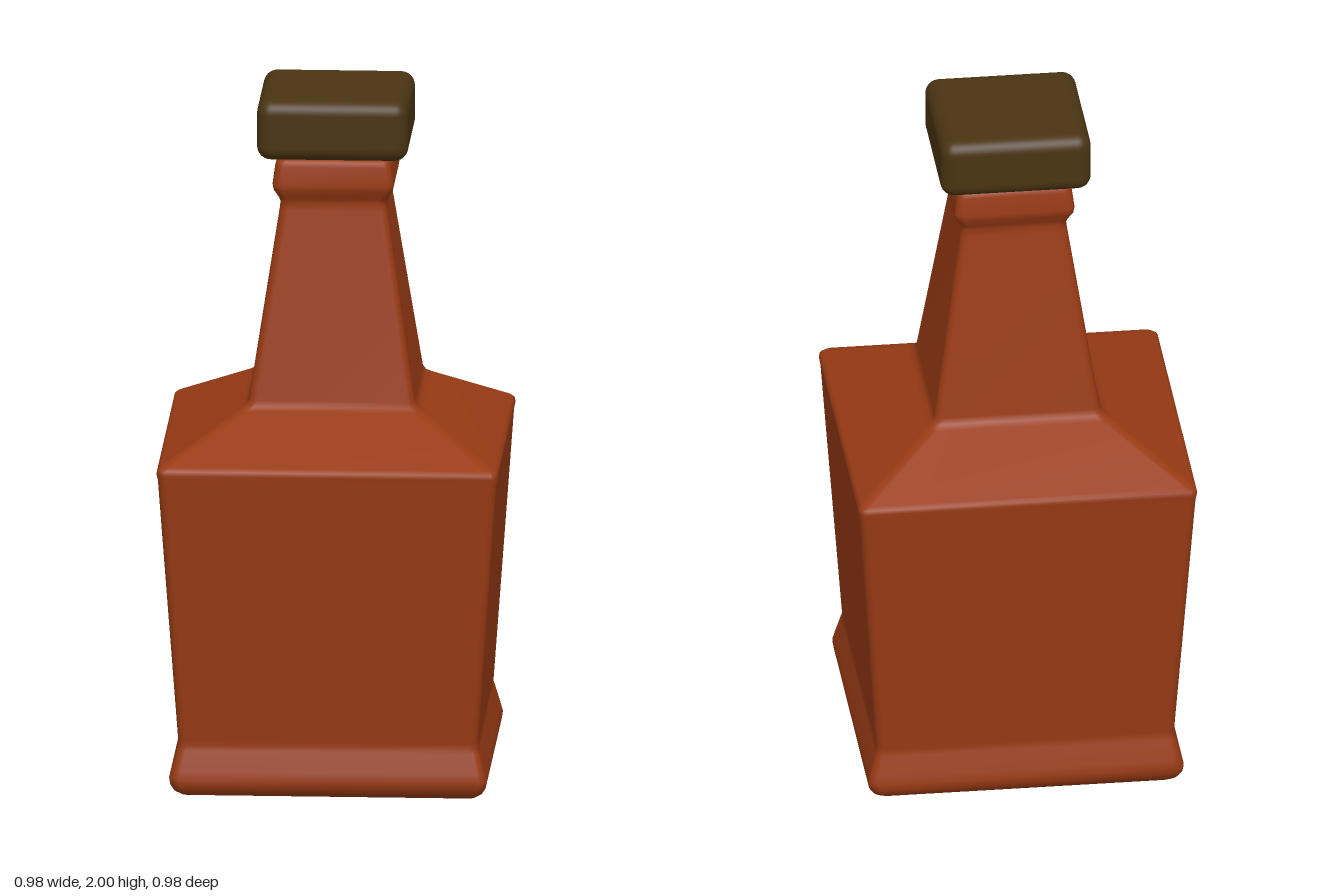
import * as THREE from 'three';
import { RoundedBoxGeometry } from 'three/addons/geometries/RoundedBoxGeometry.js';

const ARC = 5; // steps per rounded corner

// Points of a rounded square, half width h, corner radius r
function roundedSquare(h, r) {
  const points = [];
  for (let corner = 0; corner < 4; corner++) {
    const mid = Math.PI / 4 + corner * Math.PI / 2;
    const cx = Math.sign(Math.cos(mid)) * (h - r);
    const cz = Math.sign(Math.sin(mid)) * (h - r);
    for (let k = 0; k <= ARC; k++) {
      const a = corner * Math.PI / 2 + (k / ARC) * Math.PI / 2;
      points.push([cx + r * Math.cos(a), cz + r * Math.sin(a)]);
    }
  }
  return points;
}

// Loft rounded squares along y; each profile entry is [half width, y, corner radius]
function loftSquare(profile) {
  const positions = [], index = [];
  const n = 4 * (ARC + 1);
  for (const [h, y, r] of profile) {
    for (const [x, z] of roundedSquare(h, r)) positions.push(x, y, z);
  }
  const last = profile.length - 1;
  for (let j = 0; j < last; j++) {
    for (let i = 0; i < n; i++) {
      const a = j * n + i, b = j * n + (i + 1) % n;
      index.push(a, a + n, b, b, a + n, b + n);
    }
  }
  // Closed ends
  const bottom = positions.length / 3, top = bottom + 1;
  positions.push(0, profile[0][1], 0, 0, profile[last][1], 0);
  for (let i = 0; i < n; i++) {
    const next = (i + 1) % n;
    index.push(bottom, i, next, top, last * n + next, last * n + i);
  }
  const geometry = new THREE.BufferGeometry();
  geometry.setAttribute('position', new THREE.Float32BufferAttribute(positions, 3));
  geometry.setIndex(index);
  geometry.computeVertexNormals();
  return geometry;
}

export function createModel() {
  const group = new THREE.Group();
  const glass = new THREE.MeshStandardMaterial({ color: 0x983a14 });
  const capMaterial = new THREE.MeshStandardMaterial({ color: 0x4a3412 });

  const add = (name, geometry, material, y = 0) => {
    const mesh = new THREE.Mesh(geometry, material);
    mesh.name = name;
    mesh.position.y = y;
    group.add(mesh);
  };

  // Bottle: foot, tapered body, sloped shoulder, neck and lip
  add('bottle', loftSquare([
    [0.405, 0, 0.02], [0.425, 0.004, 0.025], [0.442, 0.016, 0.03],
    [0.453, 0.035, 0.03], [0.456, 0.055, 0.03], [0.45, 0.08, 0.03],
    [0.434, 0.137, 0.025], [0.43, 0.15, 0.025], [0.431, 0.165, 0.025],
    [0.486, 0.94, 0.025], [0.49, 0.96, 0.025], [0.488, 0.972, 0.025], [0.478, 0.982, 0.025],
    [0.265, 1.098, 0.025], [0.248, 1.109, 0.025], [0.238, 1.125, 0.025],
    [0.155, 1.665, 0.025], [0.152, 1.688, 0.025], [0.157, 1.702, 0.025],
    [0.171, 1.727, 0.025], [0.174, 1.745, 0.025],
    [0.167, 1.797, 0.025], [0.163, 1.811, 0.025], [0.155, 1.817, 0.02], [0.14, 1.818, 0.02],
  ]), glass);

  // Short stopper joining the lip and the cap
  add('stopper', new THREE.BoxGeometry(0.26, 0.06, 0.26), capMaterial, 1.825);

  // Square rounded cap
  add('cap', new RoundedBoxGeometry(0.434, 0.176, 0.434, 4, 0.04), capMaterial, 1.912);

  return group;
}
